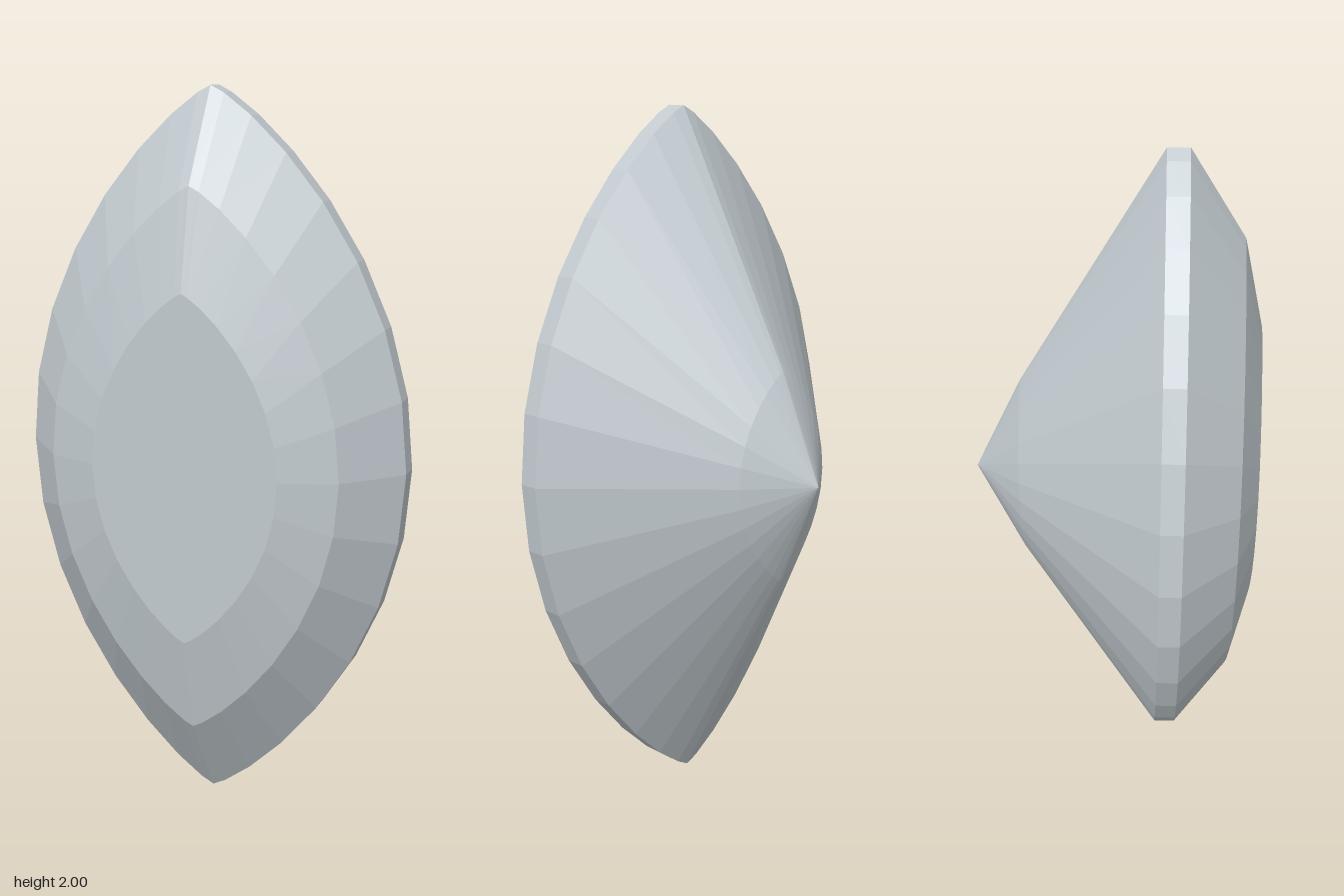
import * as THREE from 'three';

const SIDES = 32;
const HALF_WIDTH = 0.555;

// Pointed-oval outline point, scaled about the centre (0, 1)
function outline(i, scale, z) {
  const t = (i % SIDES) / SIDES * Math.PI * 2;
  const c = Math.cos(t);
  const x = HALF_WIDTH * Math.sign(c) * Math.pow(Math.abs(c), 1.65);
  return [x * scale, 1 + Math.sin(t) * scale, z];
}

// Faceted bands joining rings of [scale, z], listed from back to front
function bands(rings) {
  const pos = [];
  for (let r = 0; r < rings.length - 1; r++) {
    const [s0, z0] = rings[r], [s1, z1] = rings[r + 1];
    for (let i = 0; i < SIDES; i++) {
      const a = outline(i, s0, z0), b = outline(i + 1, s0, z0);
      const c = outline(i + 1, s1, z1), d = outline(i, s1, z1);
      if (s0 > 0) pos.push(...a, ...b, ...c);
      else pos.push(...a, ...c, ...d);
      if (s0 > 0 && s1 > 0) pos.push(...a, ...c, ...d);
    }
  }
  const geo = new THREE.BufferGeometry();
  geo.setAttribute('position', new THREE.Float32BufferAttribute(pos, 3));
  geo.computeVertexNormals();
  return geo;
}

export function createModel() {
  const group = new THREE.Group();
  group.name = 'marquiseGem';
  const crystal = new THREE.MeshStandardMaterial({ color: 0xc2cacf, flatShading: true });
  crystal.name = 'paleGreyCrystal';

  const parts = {
    // pointed back, with a slight change of slope near the tip
    pavilion: [[0, -0.397], [0.3, -0.262], [1, 0.13]],
    // thin upright rim
    girdle: [[1, 0.13], [1, 0.19]],
    // two sloping bands on the front
    crown: [[1, 0.19], [0.75, 0.34], [0.48, 0.397]],
    // flat front face
    table: [[0.48, 0.397], [0, 0.397]],
  };
  for (const [name, rings] of Object.entries(parts)) {
    const mesh = new THREE.Mesh(bands(rings), crystal);
    mesh.name = name;
    group.add(mesh);
  }
  return group;
}
